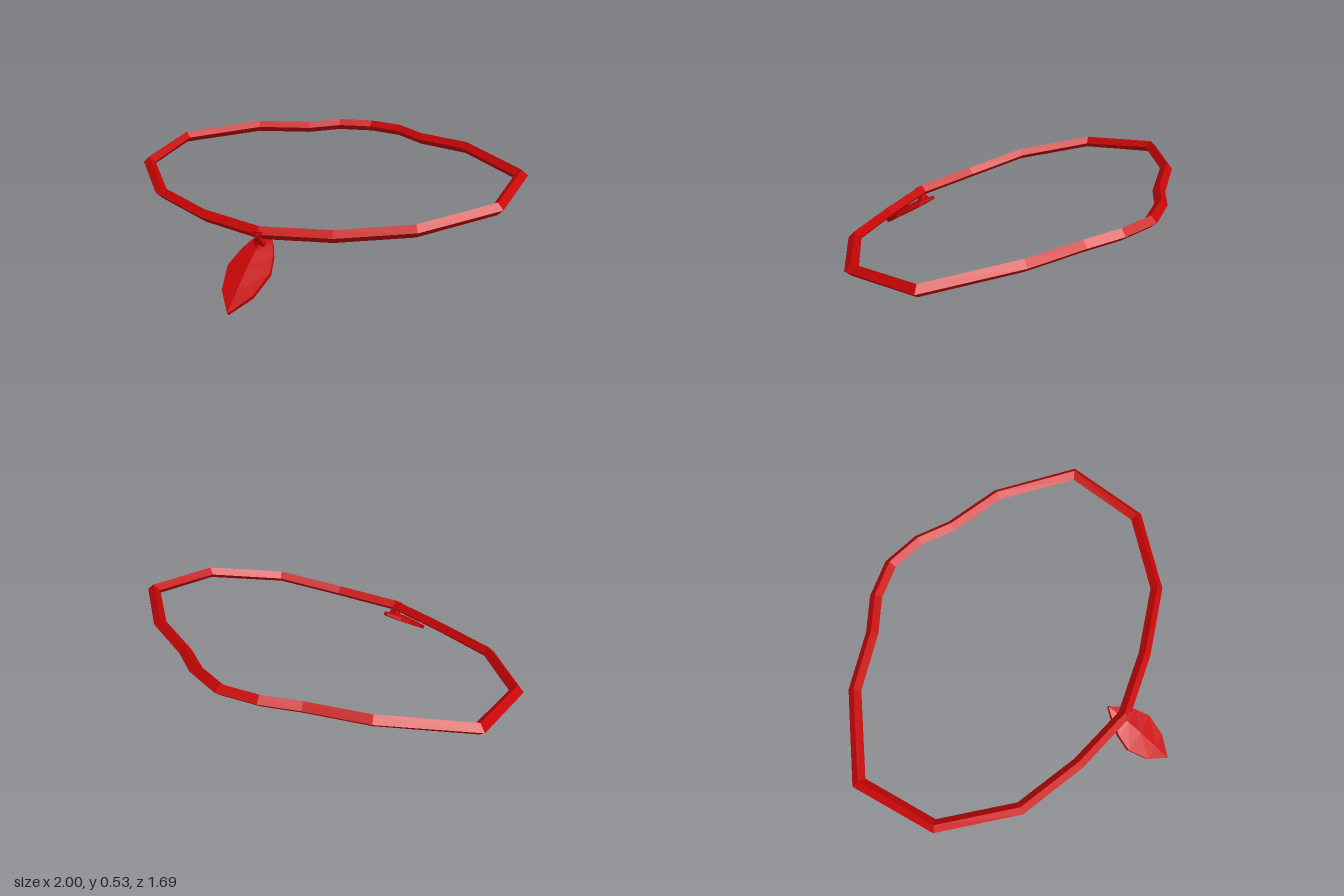
import * as THREE from 'three';

const red = new THREE.MeshStandardMaterial({ color: 0xc80506, flatShading: true });
red.name = 'red';

// Skins a list of equal cross-sections, either closed into a loop or capped at both ends
function loft(name, rings, closed = false) {
  const m = rings[0].length, n = rings.length, index = [];
  for (let i = 0; i < (closed ? n : n - 1); i++) {
    for (let j = 0; j < m; j++) {
      const k = (j + 1) % m, r = (i + 1) % n;
      const a = i * m + j, b = i * m + k, c = r * m + k, d = r * m + j;
      index.push(a, b, c, a, c, d);
    }
  }
  if (!closed) {
    const e = (n - 1) * m;
    for (let j = 1; j < m - 1; j++) index.push(0, j + 1, j, e, e + j, e + j + 1);
  }
  let geo = new THREE.BufferGeometry();
  geo.setAttribute('position', new THREE.Float32BufferAttribute(rings.flat(2), 3));
  geo.setIndex(index);
  geo = geo.toNonIndexed();
  geo.computeVertexNormals();
  const mesh = new THREE.Mesh(geo, red);
  mesh.name = name;
  return mesh;
}

// Neck band: one half from front to back, mirrored, with a diamond section
function makeBand() {
  const half = [
    [0, 0.28, 0.548], [0.33, 0.291, 0.48], [0.665, 0.33, 0.36], [0.947, 0.385, 0.075],
    [0.969, 0.44, -0.32], [0.625, 0.485, -0.582], [0.345, 0.485, -0.683],
    [0.185, 0.5, -0.772], [0, 0.5, -0.815],
  ];
  const path = [...half, ...half.slice(1, -1).reverse().map(([x, y, z]) => [-x, y, z])];
  const n = path.length, r = 0.03;
  const dir = (a, b) => new THREE.Vector2(b[0] - a[0], b[2] - a[2]).normalize();
  const rings = path.map((p, i) => {
    const t0 = dir(path[(i + n - 1) % n], p), t1 = dir(p, path[(i + 1) % n]);
    const t = t0.clone().add(t1).normalize();
    const w = r / t.dot(t1); // mitred corner
    const ox = -t.y * w, oz = t.x * w;
    const [x, y, z] = p;
    return [[x + ox, y, z + oz], [x, y - r, z], [x - ox, y, z - oz], [x, y + r, z]];
  });
  return loft('neckBand', rings, true);
}

// Leaf pendant: rows of [position along leaf, half width, half edge, front ridge, back ridge]
function makeLeaf() {
  const top = new THREE.Vector3(0, 0.265, 0.46), tip = new THREE.Vector3(0, 0.008, 0.835);
  const along = tip.clone().sub(top).normalize();
  const side = new THREE.Vector3(1, 0, 0);
  const out = along.clone().cross(side); // faces up and forward
  const rows = [
    [0, 0.003, 0.006, 0.007, 0.007], [0.17, 0.055, 0.01, 0.018, 0.012], [0.3, 0.083, 0.01, 0.025, 0.013],
    [0.5, 0.107, 0.01, 0.026, 0.013], [0.78, 0.076, 0.01, 0.018, 0.012], [1, 0.002, 0.009, 0.01, 0.01],
  ];
  const rings = rows.map(([t, w, e, front, back]) => {
    const c = top.clone().lerp(tip, t);
    const section = [[w, -e], [w, e], [0, front], [-w, e], [-w, -e], [0, -back]];
    return section.map(([u, v]) =>
      c.clone().addScaledVector(side, u).addScaledVector(out, v).toArray());
  });
  return loft('leafPendant', rings);
}

// Pinched link between band and leaf: rows of [height, depth position, half width, half depth]
function makeLink() {
  const rows = [
    [0.215, 0.54, 0.028, 0.018], [0.235, 0.543, 0.026, 0.018],
    [0.262, 0.555, 0.011, 0.02], [0.292, 0.557, 0.026, 0.018],
  ];
  return loft('link', rows.map(([y, z, w, d]) =>
    [[w, y, z + d], [w, y, z - d], [-w, y, z - d], [-w, y, z + d]]));
}

export function createModel() {
  const model = new THREE.Group();
  model.name = 'necklace';
  model.add(makeBand(), makeLeaf(), makeLink());
  return model;
}
